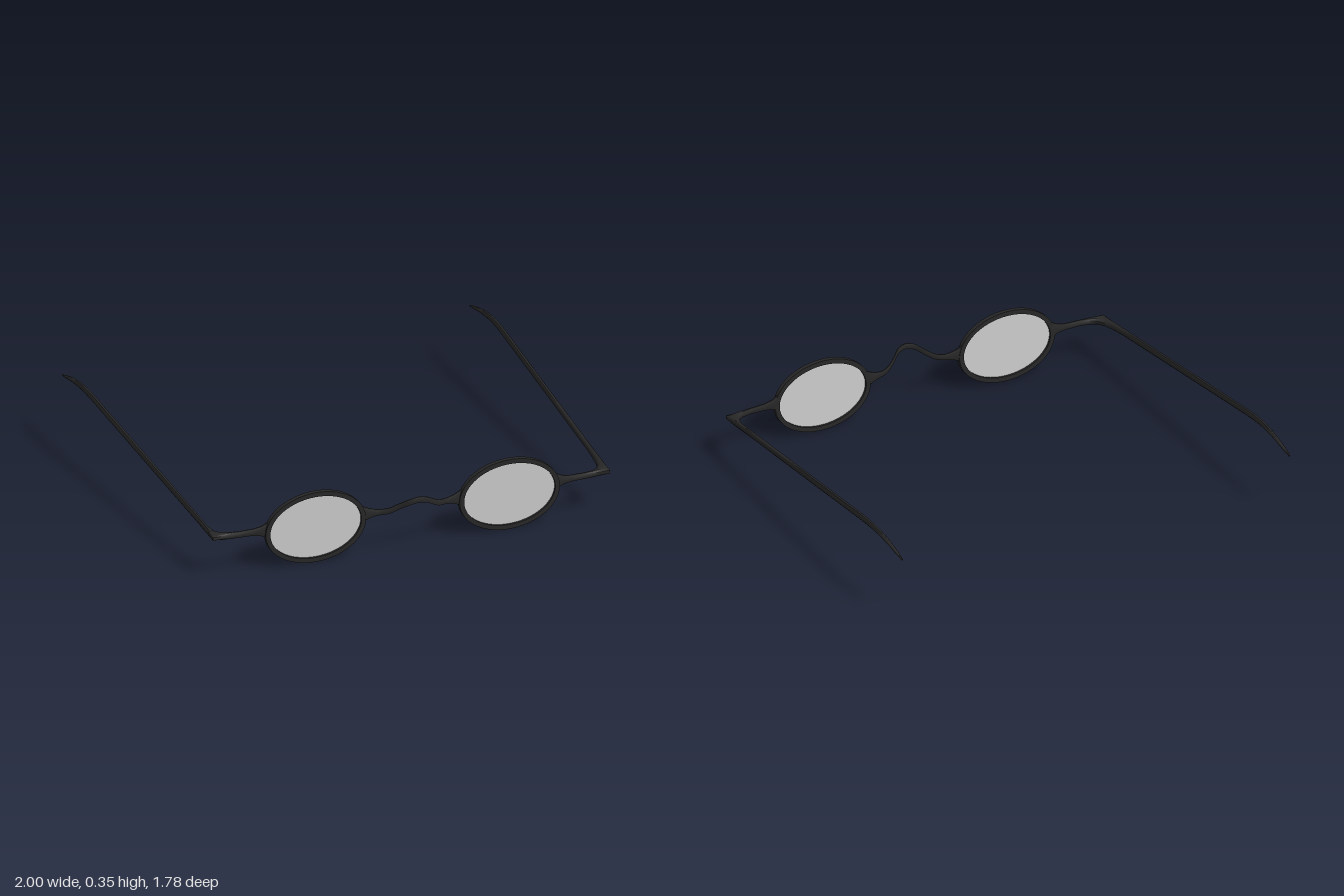
import * as THREE from 'three';
import { toCreasedNormals } from 'three/addons/utils/BufferGeometryUtils.js';

const frameMat = new THREE.MeshStandardMaterial({ color: 0x272727 });
const lensMat = new THREE.MeshStandardMaterial({ color: 0xcccccc, side: THREE.DoubleSide });

// Bevelled cross-section: u runs from outer to inner side, v from bottom to top
const PROFILE = [
  [0, 0.25], [0, 0.75], [0.25, 1], [0.75, 1], [1, 0.75], [1, 0.25], [0.75, 0], [0.25, 0],
];

// Lofts a bar through sections [outerX, outerZ, innerX, innerZ, y, height]
function loft(sections) {
  const pos = [], index = [], n = PROFILE.length;
  sections.forEach(([ox, oz, ix, iz, y, h], i) => {
    for (const [u, v] of PROFILE) pos.push(ox + (ix - ox) * u, y + (v - 0.5) * h, oz + (iz - oz) * u);
    if (i === sections.length - 1) return;
    for (let k = 0; k < n; k++) {
      const a = i * n + k, d = i * n + (k + 1) % n;
      index.push(a, a + n, d + n, a, d + n, d);
    }
  });
  const e = (sections.length - 1) * n;
  for (let k = 1; k < n - 1; k++) index.push(0, k, k + 1, e, e + k + 1, e + k);
  const geo = new THREE.BufferGeometry();
  geo.setAttribute('position', new THREE.Float32BufferAttribute(pos, 3));
  geo.setIndex(index);
  return toCreasedNormals(geo, 0.9);
}

// Mirrors sections across x, keeping the winding outward
const mirror = (sections) =>
  sections.map(([ox, oz, ix, iz, y, h]) => [-ox, oz, -ix, iz, y, h]).reverse();

function part(name, geo, mat = frameMat) {
  const mesh = new THREE.Mesh(geo, mat);
  mesh.name = name;
  return mesh;
}

// Oval rim with its flat lens, leaning slightly forward
function eyepiece(side, s) {
  const g = new THREE.Group();
  g.name = side + 'Eyepiece';
  const ring = new THREE.Shape().absellipse(0, 0, 0.243, 0.173, 0, Math.PI * 2);
  ring.holes.push(new THREE.Path().absellipse(0, 0, 0.221, 0.151, 0, Math.PI * 2, true));
  const rim = new THREE.ExtrudeGeometry(ring, { depth: 0.022, bevelEnabled: false, curveSegments: 48 });
  rim.translate(0, 0, -0.011);
  const lens = new THREE.CircleGeometry(1, 64);
  lens.scale(0.224, 0.154, 1);
  g.add(part(side + 'Rim', toCreasedNormals(rim, 0.6)), part(side + 'Lens', lens, lensMat));
  g.position.set(s * 0.47, 0.174, 0.808);
  g.rotation.x = 0.038;
  return g;
}

// Arm: flares off the rim, turns a filleted corner, runs back and curls down to a point
const arm = [
  [0.697, 0.812, 0.697, 0.798, 0.193, 0.080],
  [0.715, 0.811, 0.715, 0.797, 0.193, 0.060],
  [0.735, 0.809, 0.735, 0.797, 0.193, 0.043],
  [0.770, 0.806, 0.770, 0.796, 0.193, 0.032],
  [0.840, 0.805, 0.840, 0.793, 0.193, 0.029],
  [0.890, 0.804, 0.885, 0.782, 0.193, 0.029],
  [0.930, 0.804, 0.915, 0.760, 0.193, 0.029],
  [0.963, 0.804, 0.932, 0.728, 0.193, 0.029],
  [0.964, 0.740, 0.941, 0.680, 0.199, 0.029],
  [0.966, 0.610, 0.946, 0.590, 0.213, 0.028],
  [0.981, 0.100, 0.960, 0.100, 0.268, 0.028],
  [0.996, -0.420, 0.975, -0.420, 0.325, 0.027],
  [0.998, -0.500, 0.977, -0.500, 0.334, 0.027],
  [1.000, -0.570, 0.979, -0.570, 0.340, 0.027],
  [1.000, -0.640, 0.980, -0.640, 0.342, 0.026],
  [0.999, -0.710, 0.981, -0.710, 0.337, 0.023],
  [0.997, -0.780, 0.981, -0.780, 0.327, 0.018],
  [0.996, -0.840, 0.982, -0.840, 0.314, 0.013],
  [0.992, -0.890, 0.985, -0.890, 0.302, 0.006],
];

// Bridge: thin strip arching up and forward, flaring where it meets the rims
function bridgeSections() {
  const half = [
    [0.24, 0.193, 0.806], [0.2, 0.193, 0.81], [0.16, 0.193, 0.816],
    [0.12, 0.199, 0.831], [0.08, 0.222, 0.852], [0.04, 0.247, 0.88],
  ];
  const points = [
    ...half.map(([x, y, z]) => new THREE.Vector3(-x, y, z)),
    new THREE.Vector3(0, 0.256, 0.887),
    ...half.map(([x, y, z]) => new THREE.Vector3(x, y, z)).reverse(),
  ];
  return new THREE.CatmullRomCurve3(points).getPoints(60).map(({ x, y, z }) => {
    const flare = Math.max(0, (Math.abs(x) - 0.15) / 0.09);
    const t = 0.004 + 0.003 * flare;
    return [x, z + t, x, z - t, y, 0.028 + 0.05 * flare * flare];
  });
}

export function createModel() {
  const model = new THREE.Group();
  model.name = 'eyeglasses';
  model.add(
    eyepiece('left', 1),
    eyepiece('right', -1),
    part('bridge', loft(bridgeSections())),
    part('leftArm', loft(arm)),
    part('rightArm', loft(mirror(arm))),
  );
  return model;
}
